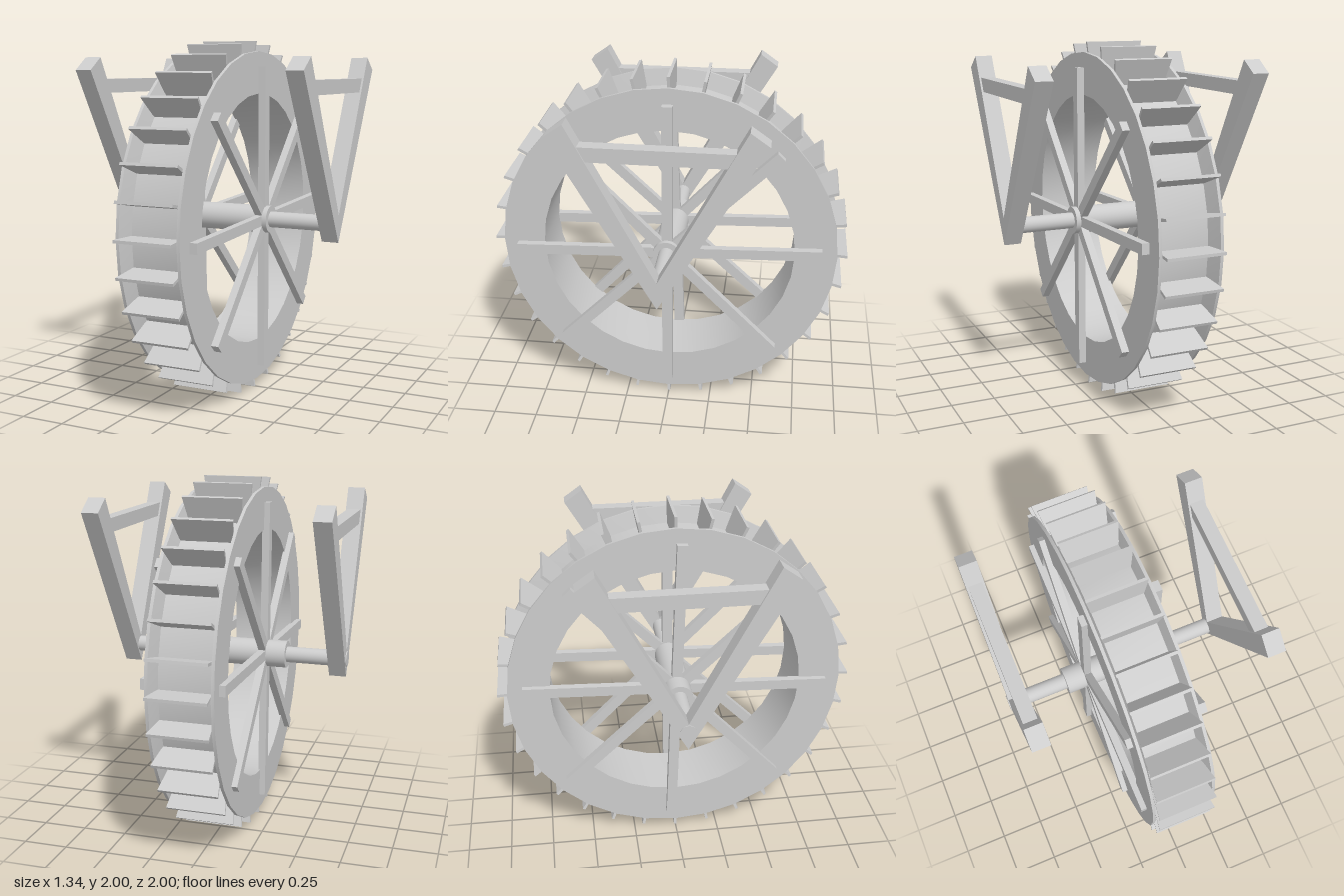
import * as THREE from 'three';
import { toCreasedNormals } from 'three/addons/utils/BufferGeometryUtils.js';

export function createModel() {
  const model = new THREE.Group();
  const material = new THREE.MeshStandardMaterial({ color: 0xcccccc });
  const add = (parent, name, geometry) => {
    const mesh = new THREE.Mesh(geometry, material);
    mesh.name = name;
    parent.add(mesh);
    return mesh;
  };
  const extrude = (points, depth) => new THREE.ExtrudeGeometry(
    new THREE.Shape(points.map(([x, y]) => new THREE.Vector2(x, y))),
    { depth, bevelEnabled: false }
  ).translate(0, 0, -depth / 2);

  // Everything turns about an axle one unit above the ground
  const wheel = new THREE.Group();
  wheel.name = 'wheel';
  wheel.position.y = 1;
  model.add(wheel);

  // Rim: channel section with two raised side walls
  const section = [
    [0.945, -0.182], [0.945, -0.165], [0.855, -0.142], [0.855, 0.142], [0.945, 0.165],
    [0.945, 0.182], [0.71, 0.182], [0.71, -0.182], [0.945, -0.182],
  ].map(([r, x]) => new THREE.Vector2(r, x));
  const rim = new THREE.LatheGeometry(section, 32).rotateZ(-Math.PI / 2);
  add(wheel, 'rim', toCreasedNormals(rim, 0.3));

  // Paddles widen towards the tip, following the rim walls
  const paddle = extrude([[-0.142, 0.84], [0.142, 0.84], [0.165, 1], [-0.165, 1]], 0.016);
  for (let i = 0; i < 32; i++) {
    add(wheel, 'paddle', paddle).rotation.x = (i / 32) * Math.PI * 2;
  }

  // Spokes: four full-width bars on each side
  const spoke = new THREE.BoxGeometry(0.042, 1.72, 0.058);
  const sides = [
    { x: 0.214, name: 'leftSpoke', angles: [0, 45, 92, 135] },
    { x: -0.193, name: 'rightSpoke', angles: [2, 47, 92, 137] },
  ];
  for (const { x, name, angles } of sides) {
    for (const angle of angles) {
      const bar = add(wheel, name, spoke);
      bar.position.x = x;
      bar.rotation.x = THREE.MathUtils.degToRad(angle);
    }
  }

  // Hub and axle
  const shaft = (name, radius, x0, x1) => {
    const geometry = new THREE.CylinderGeometry(radius, radius, x1 - x0, 32).rotateZ(Math.PI / 2);
    add(wheel, name, geometry).position.x = (x0 + x1) / 2;
  };
  shaft('hub', 0.077, -0.325, 0.262);
  shaft('axle', 0.045, -0.672, 0.62);

  // V-shaped hangers with a crossbar, one at each end of the axle
  const arms = extrude([
    [0, 0.895], [0.555, 1.84], [0.455, 1.91], [0, 1.05], [-0.455, 1.91], [-0.555, 1.84],
  ], 0.097).rotateY(-Math.PI / 2);
  const crossbar = new THREE.BoxGeometry(0.075, 0.078, 0.84);
  for (const side of [1, -1]) {
    const hanger = new THREE.Group();
    hanger.name = side > 0 ? 'leftHanger' : 'rightHanger';
    hanger.position.x = side * 0.618;
    add(hanger, 'arms', arms);
    add(hanger, 'crossbar', crossbar).position.y = 1.752;
    model.add(hanger);
  }

  return model;
}
